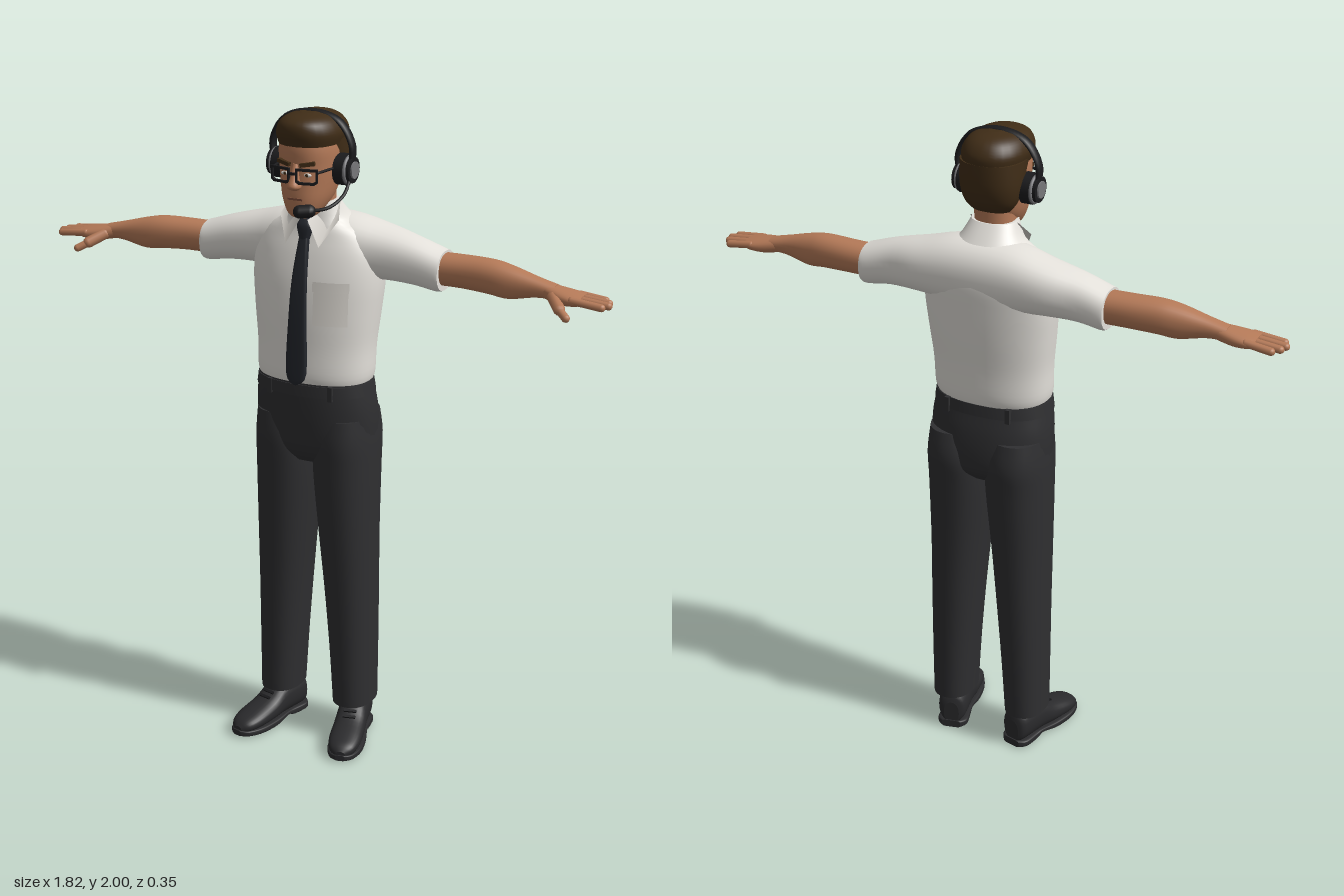
import * as THREE from 'three';

const mat = (name, color) => new THREE.MeshStandardMaterial({ name, color });

export function createModel() {
  const M = {
    skin: mat('skin', 0xb57a58), hair: mat('hair', 0x402d17), shirt: mat('shirt', 0xe4e1db),
    trim: mat('shirtTrim', 0xd8d4cd), trousers: mat('trousers', 0x2f2f31), tie: mat('tie', 0x22252b),
    shoe: mat('shoe', 0x2a2a2c), plastic: mat('blackPlastic', 0x1b1b1d), metal: mat('greyMetal', 0x77777a),
    lip: mat('lip', 0x80503c),
  };
  M.trim.side = THREE.DoubleSide;
  const root = new THREE.Group();
  root.name = 'officeMan';

  const add = (name, geo, material, parent = root) => {
    const m = new THREE.Mesh(geo, material);
    m.name = name;
    parent.add(m);
    return m;
  };

  // Superellipse loft. Ring: [along, a0, a1, b0, b1]; order maps along/a/b to xyz.
  const ORDER = { y: (t, a, b) => [a, t, b], x: (t, a, b) => [t, a, b], z: (t, a, b) => [a, b, t] };
  function loft(axis, rings, { n = 2.3, seg = 28, steps = 4, sx = 1 } = {}) {
    const pos = [], idx = [], all = [];
    const cr = (p, q, r, s, t) => 0.5 * (2 * q + (r - p) * t + (2 * p - 5 * q + 4 * r - s) * t * t + (3 * q - p - 3 * r + s) * t * t * t);
    const at = i => rings[Math.max(0, Math.min(rings.length - 1, i))];
    for (let i = 0; i < rings.length - 1; i++)
      for (let k = 0; k < steps; k++)
        all.push(at(i).map((v, j) => cr(at(i - 1)[j], v, at(i + 1)[j], at(i + 2)[j], k / steps)));
    all.push(at(rings.length));
    const put = (t, a, b) => { const p = ORDER[axis](t, a, b); pos.push(p[0] * sx, p[1], p[2]); };
    const ring = ([t, a0, a1, b0, b1]) => {
      for (let j = 0; j < seg; j++) {
        const u = j / seg * Math.PI * 2, c = Math.cos(u), s = Math.sin(u);
        put(t, (a0 + a1) / 2 + (a1 - a0) / 2 * Math.sign(c) * Math.abs(c) ** (2 / n),
          (b0 + b1) / 2 + (b1 - b0) / 2 * Math.sign(s) * Math.abs(s) ** (2 / n));
      }
    };
    all.forEach(ring);
    for (let i = 0; i < all.length - 1; i++)
      for (let j = 0; j < seg; j++) {
        const a = i * seg + j, b = i * seg + (j + 1) % seg;
        idx.push(a, b, b + seg, a, b + seg, a + seg);
      }
    // End caps with their own vertices keep crisp edges
    [[all[0], true], [all[all.length - 1], false]].forEach(([r, first]) => {
      const base = pos.length / 3;
      ring(r);
      put(r[0], (r[1] + r[2]) / 2, (r[3] + r[4]) / 2);
      for (let j = 0; j < seg; j++) {
        const a = base + j, b = base + (j + 1) % seg;
        first ? idx.push(base + seg, b, a) : idx.push(base + seg, a, b);
      }
    });
    // Turn the faces outward when the signed volume is negative
    let vol = 0;
    const P = i => new THREE.Vector3().fromArray(pos, i * 3);
    for (let i = 0; i < idx.length; i += 3) vol += P(idx[i]).dot(P(idx[i + 1]).cross(P(idx[i + 2])));
    if (vol < 0) idx.reverse();
    const g = new THREE.BufferGeometry();
    g.setAttribute('position', new THREE.Float32BufferAttribute(pos, 3));
    g.setIndex(idx);
    g.computeVertexNormals();
    return g;
  }
  // Ring symmetric about x = 0
  const sym = list => list.map(([t, w, b0, b1]) => [t, -w, w, b0, b1]);
  const V = (x, y, z) => new THREE.Vector3(x, y, z);
  const capsule = (name, a, b, r, material, parent) => {
    const m = add(name, new THREE.CapsuleGeometry(r, a.distanceTo(b), 5, 10), material, parent);
    m.position.copy(a).lerp(b, 0.5);
    m.quaternion.setFromUnitVectors(V(0, 1, 0), b.clone().sub(a).normalize());
    return m;
  };
  const box = (name, w, h, d, x, y, z, material, parent) => {
    const m = add(name, new THREE.BoxGeometry(w, h, d), material, parent);
    m.position.set(x, y, z);
    return m;
  };

  // Shirt body and the shoulder yoke running into both sleeves
  add('shirtBody', loft('y', sym([
    [1.18, 0.172, -0.14, 0.088], [1.215, 0.182, -0.15, 0.096], [1.3, 0.185, -0.155, 0.093], [1.4, 0.196, -0.165, 0.09],
    [1.5, 0.205, -0.172, 0.08], [1.58, 0.2, -0.174, 0.062], [1.64, 0.165, -0.157, 0.043], [1.68, 0.1, -0.125, 0.037],
    [1.735, 0.069, -0.078, 0.036]]), { seg: 40 }), M.shirt);
  const sleeve = [[0.08, 1.49, 1.688, -0.175, 0.025], [0.2, 1.5, 1.662, -0.168, 0.005], [0.3, 1.498, 1.637, -0.148, -0.005],
    [0.375, 1.487, 1.613, -0.144, -0.01], [0.392, 1.49, 1.608, -0.141, -0.013]];
  add('shoulderYokeAndSleeves', loft('x', [...sleeve.map(([t, ...r]) => [-t, ...r]).reverse(), ...sleeve]), M.shirt);

  // Breast pocket wrapped on the chest
  const pocket = (name, w, h, x, y, lift) => {
    const g = new THREE.PlaneGeometry(w, h, 10, 6).translate(x, y, 0), p = g.attributes.position;
    for (let i = 0; i < p.count; i++) {
      const px = p.getX(i), py = p.getY(i), k = (py - 1.4) / 0.1;
      const half = 0.1275 - 0.0015 * k, mid = -0.0375 - 0.0085 * k;
      p.setZ(i, mid + half * (1 - Math.abs(px / (0.196 + 0.009 * k)) ** 2.3) ** (1 / 2.3) + lift);
    }
    g.computeVertexNormals();
    add(name, g, M.trim);
  };
  pocket('breastPocket', 0.1, 0.12, 0.095, 1.44, 0.004);
  pocket('pocketFlap', 0.106, 0.03, 0.095, 1.495, 0.007);

  // Tie
  add('tieBlade', loft('y', sym([[1.195, 0.004, 0.105, 0.117], [1.23, 0.032, 0.098, 0.117], [1.4, 0.028, 0.09, 0.107],
    [1.52, 0.023, 0.075, 0.092], [1.635, 0.014, 0.04, 0.064]]), { n: 4, seg: 16 }), M.tie);
  add('tieKnot', loft('y', sym([[1.625, 0.014, 0.03, 0.066], [1.665, 0.024, 0.025, 0.066], [1.685, 0.02, 0.02, 0.055]]), { n: 3, seg: 16 }), M.tie);

  // Trouser seat, waistband and belt loops
  add('trouserSeat', loft('y', sym([[0.93, 0.14, -0.12, 0.045], [0.97, 0.182, -0.158, 0.074], [1.03, 0.19, -0.165, 0.086],
    [1.1, 0.19, -0.16, 0.092], [1.16, 0.183, -0.148, 0.094], [1.195, 0.178, -0.143, 0.093]]), { seg: 40 }), M.trousers);
  add('waistband', loft('y', sym([[1.155, 0.186, -0.15, 0.097], [1.19, 0.181, -0.146, 0.096]]), { seg: 40, steps: 1 }), M.trousers);
  [-0.1, 0.1].forEach(x => [0.08, -0.136].forEach(z => box('beltLoop', 0.014, 0.045, 0.016, x, 1.17, z, M.trousers)));

  // Head, neck and face
  add('neck', loft('y', sym([[1.62, 0.062, -0.085, 0.03], [1.7, 0.06, -0.075, 0.036], [1.8, 0.062, -0.075, 0.04]])), M.skin);
  add('head', loft('y', sym([[1.695, 0.022, 0.035, 0.085], [1.708, 0.045, 0.0, 0.102], [1.75, 0.068, -0.06, 0.111],
    [1.8, 0.08, -0.09, 0.11], [1.85, 0.086, -0.1, 0.109], [1.9, 0.087, -0.105, 0.112], [1.95, 0.075, -0.09, 0.1],
    [1.98, 0.04, -0.05, 0.06]])), M.skin);
  add('nose', loft('y', sym([[1.784, 0.01, 0.09, 0.122], [1.795, 0.02, 0.09, 0.14], [1.82, 0.013, 0.09, 0.131],
    [1.86, 0.009, 0.09, 0.113]]), { seg: 14 }), M.skin);
  box('mouth', 0.046, 0.006, 0.008, 0, 1.757, 0.109, M.lip);

  // Hair: crown and nape
  add('hairCrown', loft('y', sym([[1.908, 0.09, -0.12, 0.111], [1.94, 0.096, -0.122, 0.12], [1.97, 0.083, -0.105, 0.115],
    [1.987, 0.058, -0.078, 0.09], [1.995, 0.022, -0.04, 0.05]])), M.hair);
  add('hairBack', loft('y', sym([[1.77, 0.06, -0.08, 0.0], [1.8, 0.08, -0.106, 0.015], [1.85, 0.092, -0.12, 0.035],
    [1.92, 0.095, -0.122, 0.07]])), M.hair);

  // Headband and microphone
  const tube = (pts, r) => new THREE.TubeGeometry(new THREE.CatmullRomCurve3(pts), 40, r, 8);
  add('headband', tube([[-0.122, 1.84], [-0.128, 1.9], [-0.088, 1.968], [0, 1.992], [0.088, 1.968], [0.128, 1.9], [0.122, 1.84]]
    .map(([x, y]) => V(x, y, 0)), 0.008).scale(1, 1, 2.3), M.plastic);
  add('microphoneBoom', tube([V(0.128, 1.82, 0.01), V(0.125, 1.77, 0.05), V(0.098, 1.74, 0.1), V(0.045, 1.733, 0.135)], 0.005), M.plastic);
  capsule('microphone', V(0.055, 1.733, 0.13), V(0.03, 1.731, 0.142), 0.019, M.plastic);
  box('glassesBridge', 0.02, 0.007, 0.008, 0, 1.835, 0.128, M.plastic);

  // Paired parts
  for (const s of [-1, 1]) {
    const side = s > 0 ? 'left' : 'right';
    const G = new THREE.Group();
    G.name = side + 'Side';
    root.add(G);

    // Collar wing
    const wing = new THREE.BufferGeometry().setFromPoints(
      [[0.076, 1.735, -0.03], [0.012, 1.685, 0.058], [0.054, 1.61, 0.07], [0.095, 1.685, 0.02]].map(([x, y, z]) => V(s * x, y, z)));
    wing.setIndex(s > 0 ? [0, 1, 2, 0, 2, 3] : [0, 2, 1, 0, 3, 2]);
    wing.computeVertexNormals();
    add('collarWing', wing, M.trim, G);

    // Arm, palm, fingers and thumb
    add('arm', loft('x', [[0.34, 1.505, 1.6, -0.128, -0.026], [0.45, 1.506, 1.602, -0.126, -0.026], [0.54, 1.502, 1.602, -0.118, -0.02],
      [0.6, 1.497, 1.593, -0.108, -0.02], [0.68, 1.513, 1.572, -0.092, -0.028], [0.74, 1.515, 1.557, -0.088, -0.03]], { sx: s }), M.skin, G);
    add('palm', loft('x', [[0.71, 1.515, 1.56, -0.088, -0.03], [0.76, 1.506, 1.552, -0.097, -0.012], [0.8, 1.508, 1.545, -0.1, -0.005],
      [0.825, 1.513, 1.54, -0.095, -0.008]], { sx: s }), M.skin, G);
    [[-0.088, 0.875], [-0.065, 0.893], [-0.04, 0.9], [-0.016, 0.888]].forEach(([z, x]) =>
      capsule('finger', V(s * 0.8, 1.53, z), V(s * x, 1.521, z * 1.03), 0.0115, M.skin, G));
    capsule('thumbBase', V(s * 0.74, 1.53, -0.03), V(s * 0.775, 1.508, 0.01), 0.017, M.skin, G);
    capsule('thumb', V(s * 0.77, 1.51, 0.008), V(s * 0.802, 1.492, 0.03), 0.012, M.skin, G);

    // Trouser leg
    add('trouserLeg', loft('y', [[0.115, 0.064, 0.19, -0.135, 0.037], [0.3, 0.052, 0.191, -0.14, 0.042], [0.5, 0.036, 0.191, -0.146, 0.051],
      [0.7, 0.018, 0.191, -0.152, 0.064], [0.9, 0.001, 0.192, -0.166, 0.076], [1.0, 0.004, 0.191, -0.176, 0.082],
      [1.08, 0.02, 0.184, -0.16, 0.075]].map(([y, a, b, c, d]) => s > 0 ? [y, a, b, c, d] : [y, -b, -a, c, d])), M.trousers, G);

    // Shoe, toes turned out
    const shoe = new THREE.Group();
    shoe.name = side + 'Shoe';
    shoe.position.set(s * 0.127, 0, -0.05);
    shoe.rotation.y = s * 0.24;
    G.add(shoe);
    add('shoeUpper', loft('z', sym([[-0.074, 0.025, 0.012, 0.09], [-0.055, 0.045, 0.012, 0.125], [0.03, 0.047, 0.012, 0.125],
      [0.09, 0.05, 0.012, 0.088], [0.16, 0.05, 0.012, 0.067], [0.205, 0.038, 0.012, 0.052], [0.225, 0.015, 0.012, 0.035]])), M.shoe, shoe);
    add('shoeSole', loft('z', sym([[-0.078, 0.03, 0, 0.024], [-0.055, 0.048, 0, 0.024], [0.0, 0.046, 0, 0.024], [0.03, 0.046, 0.01, 0.024],
      [0.09, 0.054, 0, 0.022], [0.16, 0.054, 0, 0.022], [0.21, 0.038, 0.003, 0.023], [0.23, 0.015, 0.006, 0.024]]), { n: 5 }), M.shoe, shoe);
    [0.06, 0.078, 0.096].forEach((z, i) => {
      box('shoeLace', 0.04, 0.006, 0.008, 0, 0.112 - i * 0.011, z, M.plastic, shoe).rotation.x = 0.5;
    });

    // Earcup: cushion, shell and grey ring
    [[0.03, 0.046, 0.1, M.plastic], [0.022, 0.038, 0.122, M.plastic], [0.008, 0.025, 0.134, M.metal]].forEach(([h, r, x, m]) => {
      const cup = add('earcup', new THREE.CylinderGeometry(r, r, h, 24).rotateZ(Math.PI / 2), m, G);
      cup.position.set(s * x, 1.833, 0);
    });
    const ring = add('earcupRing', new THREE.TorusGeometry(0.039, 0.005, 8, 28).rotateY(Math.PI / 2), M.metal, G);
    ring.position.set(s * 0.119, 1.833, 0);

    // Eye, brow and glasses
    const eye = add('eye', new THREE.SphereGeometry(0.011, 12, 8).scale(1.2, 0.5, 0.4), M.shirt, G);
    eye.position.set(s * 0.036, 1.829, 0.103);
    const iris = add('iris', new THREE.SphereGeometry(0.005, 10, 8).scale(1, 1, 0.6), M.hair, G);
    iris.position.set(s * 0.035, 1.829, 0.106);
    box('brow', 0.044, 0.011, 0.014, s * 0.037, 1.861, 0.106, M.hair, G).rotation.set(0, s * 0.25, s * 0.16);
    const rect = (w, h, P) => new P([[-w, -h * 0.7], [-w * 0.7, -h], [w * 0.7, -h], [w, -h * 0.7], [w, h], [-w, h]].map(p => new THREE.Vector2(...p)));
    const rim = rect(0.033, 0.023, THREE.Shape);
    rim.holes.push(rect(0.027, 0.016, THREE.Path));
    const frame = add('glassesRim', new THREE.ExtrudeGeometry(rim, { depth: 0.007, bevelEnabled: false }), M.plastic, G);
    frame.position.set(s * 0.041, 1.828, 0.117);
    frame.rotation.y = s * 0.2;
    capsule('glassesTemple', V(s * 0.075, 1.842, 0.112), V(s * 0.09, 1.842, 0.02), 0.004, M.plastic, G);
  }
  return root;
}
